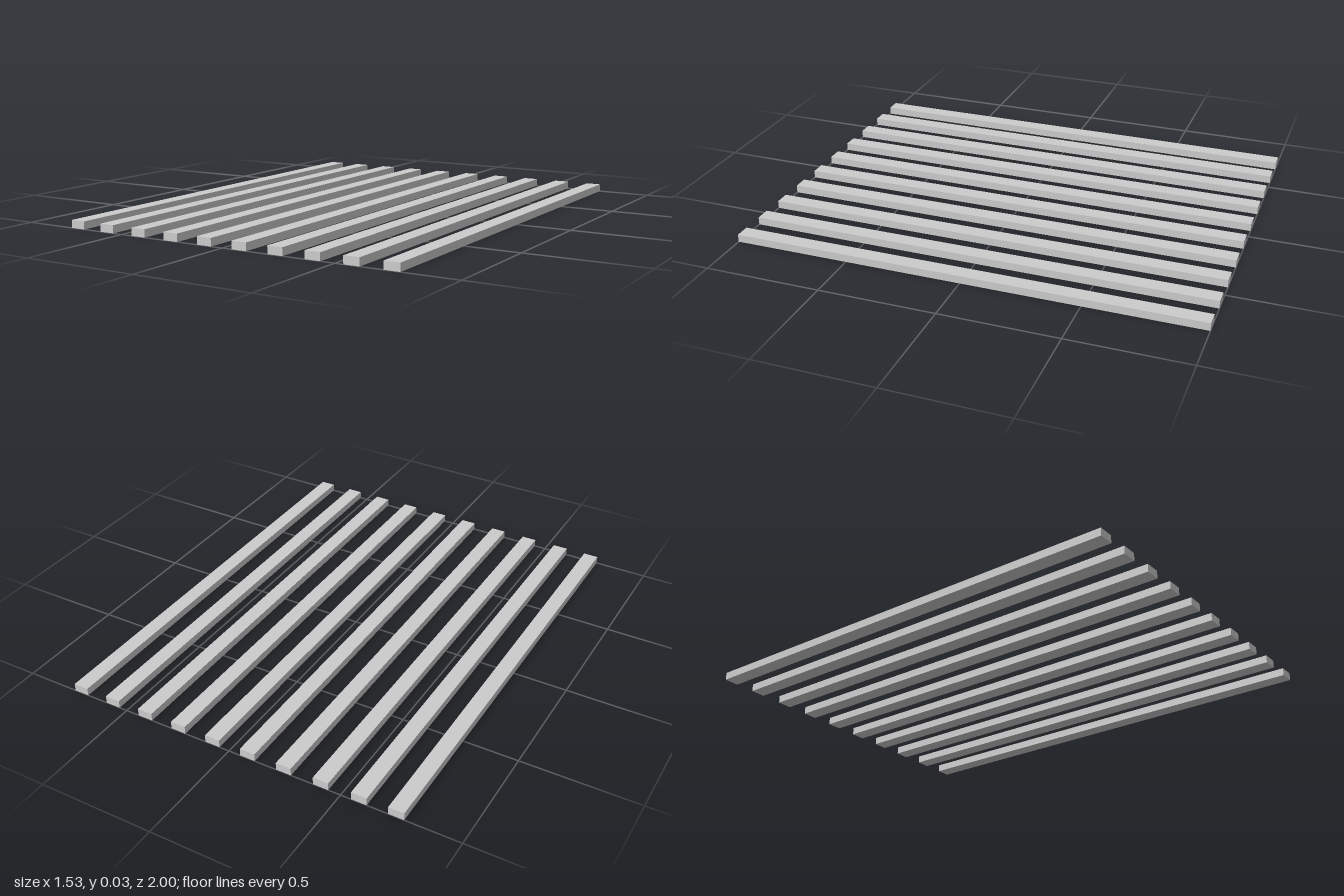
import * as THREE from 'three';

export function createModel() {
  const group = new THREE.Group();
  group.name = 'slats';
  const material = new THREE.MeshStandardMaterial({ color: 0xcccccc, flatShading: true });

  const count = 10, width = 0.0667, height = 0.0333, length = 2;
  const outer = 0.733, pitch = 0.1638;
  const geometry = new THREE.BoxGeometry(width, height, length);

  // Evenly pitched from the left edge; the last slat closes the opposite edge with a slightly narrower gap
  for (let i = 0; i < count; i++) {
    const slat = new THREE.Mesh(geometry, material);
    slat.name = `slat${i + 1}`;
    slat.position.set(Math.max(-outer, outer - i * pitch), height / 2, 0);
    group.add(slat);
  }
  return group;
}
